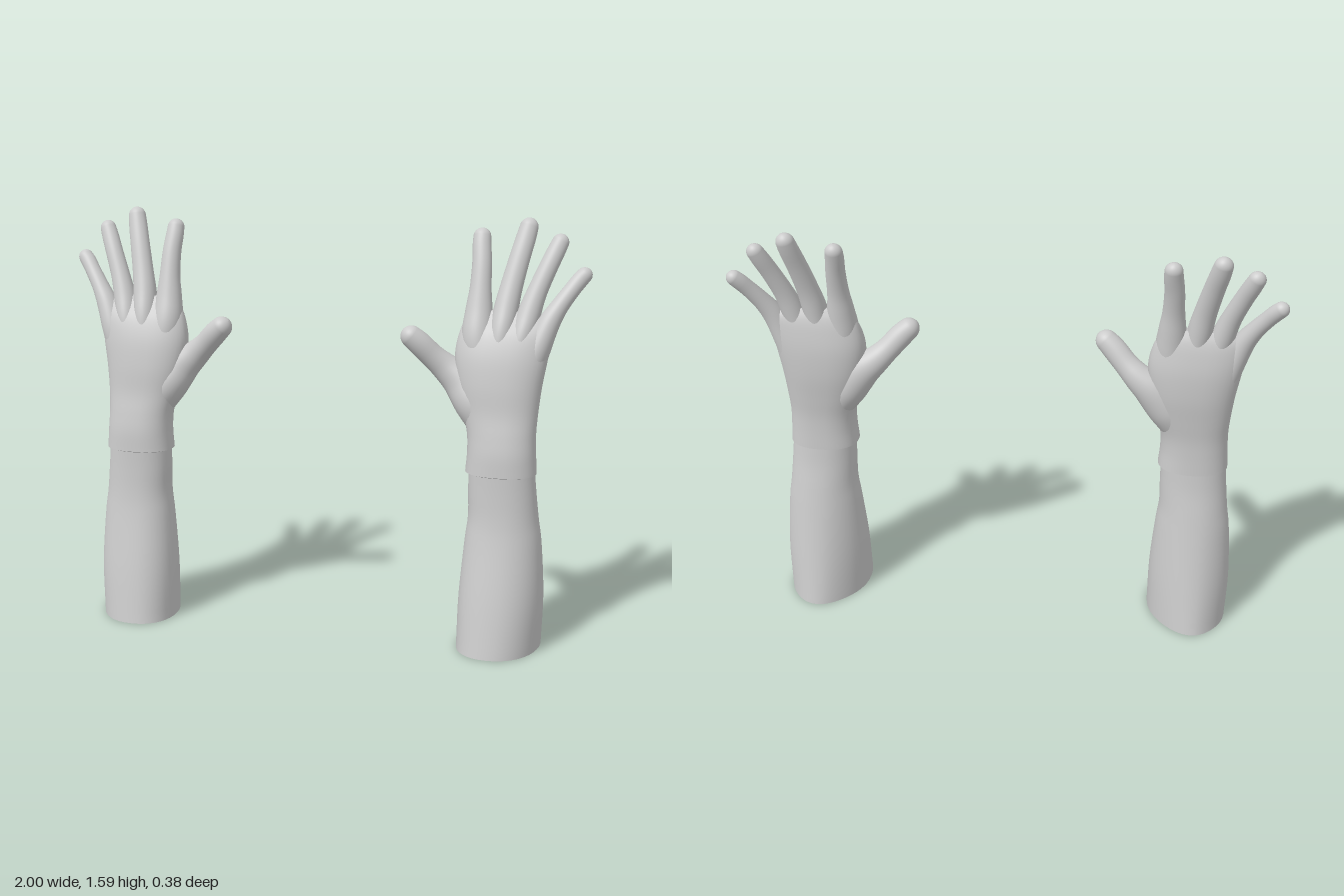
import * as THREE from 'three';

const SIDES = 40;
const material = new THREE.MeshStandardMaterial({ color: 0xcccccc });

// Smooth skin over a list of rings; side = -1 mirrors it across x.
function skin(name, rings, side) {
  const pos = [], index = [];
  for (const ring of rings) for (const p of ring) pos.push(p.x * side, p.y, p.z);
  for (let i = 0; i < rings.length - 1; i++) {
    for (let j = 0; j < SIDES; j++) {
      const k = (j + 1) % SIDES;
      const a = i * SIDES + j, b = i * SIDES + k, c = a + SIDES, d = b + SIDES;
      if (side > 0) index.push(a, c, b, b, c, d);
      else index.push(a, b, c, b, d, c);
    }
  }
  const geo = new THREE.BufferGeometry();
  geo.setAttribute('position', new THREE.Float32BufferAttribute(pos, 3));
  geo.setIndex(index);
  geo.computeVertexNormals();
  const mesh = new THREE.Mesh(geo, material);
  mesh.name = name;
  return mesh;
}

const spline = (pts) => new THREE.CatmullRomCurve3(pts, false, 'catmullrom', 0.5);
const ringOf = (fn) => Array.from({ length: SIDES }, (_, j) => fn((j / SIDES) * Math.PI * 2));
const bulge = (v, n) => Math.sign(v) * Math.pow(Math.abs(v), 2 / n);

// Upright loft; rows are [y, xMin, xMax, zBack, zFront].
// taper narrows the back, shear slides it sideways; both fade with height.
function upright(rows, { n = 2.2, taper = 0, shear = 0, steps = 5 } = {}) {
  const xs = spline(rows.map((r) => new THREE.Vector3(r[0], r[1], r[2])));
  const zs = spline(rows.map((r) => new THREE.Vector3(r[0], r[3], r[4])));
  const count = (rows.length - 1) * steps;
  const rings = [];
  for (let i = 0; i <= count; i++) {
    const t = i / count, X = xs.getPoint(t), Z = zs.getPoint(t);
    const cx = (X.y + X.z) / 2, rx = (X.z - X.y) / 2;
    const cz = (Z.y + Z.z) / 2, rz = (Z.z - Z.y) / 2;
    rings.push(ringOf((a) => {
      const c = bulge(Math.cos(a), n), s = bulge(Math.sin(a), n);
      const narrow = 1 - taper * (1 - t) * Math.max(0, -s) ** 2;
      return new THREE.Vector3(cx + rx * c * narrow - shear * (1 - t) * s * rz, X.x, cz + rz * s);
    }));
  }
  return rings;
}

// Round-ended digit; points are [x, y, z, radius across, radius in depth].
function digit(points) {
  const path = spline(points.map((p) => new THREE.Vector3(p[0], p[1], p[2])));
  const radii = spline(points.map((p) => new THREE.Vector3(p[3], p[4], 0)));
  const tipT = 1 - points[points.length - 1][3] / path.getLength();
  const ts = [];
  for (let i = 0; i < 22; i++) ts.push([(i / 22) * tipT, 1]);
  for (let i = 0; i <= 8; i++) {
    const a = (i / 8) * Math.PI / 2;
    ts.push([tipT + (1 - tipT) * Math.sin(a), Math.max(Math.cos(a), 0.002)]);
  }
  return ts.map(([u, k]) => {
    const t = path.getUtoTmapping(u);
    const c = path.getPoint(t), r = radii.getPoint(t), T = path.getTangent(t);
    const S = new THREE.Vector3().crossVectors(T, new THREE.Vector3(0, 0, 1)).normalize();
    const D = new THREE.Vector3().crossVectors(S, T);
    return ringOf((a) => c.clone()
      .addScaledVector(S, Math.cos(a) * r.x * k)
      .addScaledVector(D, Math.sin(a) * r.y * k));
  });
}

const center = (ring) => {
  const c = new THREE.Vector3();
  ring.forEach((p) => c.addScaledVector(p, 1 / ring.length));
  return ring.map(() => c.clone());
};

const FOREARM = [
  [0, 0.57, 0.875, -0.19, 0.19],
  [0.2, 0.57, 0.88, -0.16, 0.155],
  [0.4, 0.583, 0.867, -0.13, 0.115],
  [0.5, 0.593, 0.853, -0.115, 0.1],
  [0.6, 0.591, 0.842, -0.1, 0.094],
  [0.7, 0.591, 0.832, -0.092, 0.092],
];

const PALM = [
  [0.675, 0.579, 0.841, -0.096, 0.104],
  [0.75, 0.584, 0.836, -0.095, 0.1],
  [0.82, 0.58, 0.833, -0.097, 0.089],
  [0.9, 0.56, 0.837, -0.106, 0.074],
  [1.0, 0.535, 0.847, -0.117, 0.064],
  [1.1, 0.523, 0.863, -0.118, 0.046],
  [1.18, 0.535, 0.872, -0.108, 0.018],
  [1.23, 0.56, 0.86, -0.096, -0.015],
  [1.265, 0.61, 0.8, -0.08, -0.04],
];

const DIGITS = {
  indexFinger: [
    [0.622, 1.05, -0.03, 0.05, 0.06], [0.603, 1.16, -0.038, 0.058, 0.06],
    [0.603, 1.26, -0.058, 0.05, 0.047], [0.604, 1.34, -0.075, 0.04, 0.038],
    [0.603, 1.43, -0.1, 0.036, 0.034], [0.597, 1.5, -0.124, 0.034, 0.031],
    [0.596, 1.553, -0.145, 0.03, 0.027],
  ],
  middleFinger: [
    [0.682, 1.05, -0.03, 0.04, 0.06], [0.69, 1.17, -0.036, 0.045, 0.06],
    [0.702, 1.27, -0.059, 0.045, 0.047], [0.716, 1.35, -0.08, 0.041, 0.038],
    [0.738, 1.45, -0.112, 0.038, 0.034], [0.757, 1.53, -0.142, 0.036, 0.032],
    [0.77, 1.592, -0.163, 0.031, 0.028],
  ],
  ringFinger: [
    [0.745, 1.05, -0.03, 0.04, 0.055], [0.763, 1.16, -0.036, 0.043, 0.057],
    [0.784, 1.25, -0.056, 0.043, 0.045], [0.808, 1.33, -0.076, 0.037, 0.036],
    [0.843, 1.42, -0.104, 0.034, 0.032], [0.868, 1.48, -0.127, 0.033, 0.03],
    [0.892, 1.537, -0.148, 0.029, 0.026],
  ],
  littleFinger: [
    [0.795, 1.03, -0.035, 0.045, 0.06], [0.823, 1.13, -0.038, 0.047, 0.056],
    [0.856, 1.22, -0.053, 0.041, 0.043], [0.892, 1.285, -0.073, 0.033, 0.034],
    [0.933, 1.345, -0.098, 0.03, 0.029], [0.963, 1.385, -0.118, 0.03, 0.028],
    [0.992, 1.415, -0.134, 0.026, 0.025],
  ],
  thumb: [
    [0.655, 0.83, -0.012, 0.06, 0.06], [0.604, 0.92, -0.022, 0.075, 0.075],
    [0.55, 0.995, -0.036, 0.07, 0.062], [0.492, 1.045, -0.034, 0.054, 0.05],
    [0.443, 1.09, -0.018, 0.045, 0.043], [0.392, 1.143, 0.003, 0.044, 0.042],
    [0.337, 1.192, 0.02, 0.036, 0.036],
  ],
};

function createArm(side) {
  const arm = new THREE.Group();
  arm.name = side > 0 ? 'leftArm' : 'rightArm';

  // Forearm with a flat, sharp-edged base
  const forearm = upright(FOREARM, { n: 2.2, taper: 0.28, shear: 0.12 });
  arm.add(skin('forearm', forearm, side));
  arm.add(skin('forearmBase', [center(forearm[0]), forearm[0]], side));

  // Gloved palm, closed on top, with a stepped cuff edge below
  const palm = upright(PALM, { n: 2.3 });
  arm.add(skin('palm', [...palm, center(palm[palm.length - 1])], side));
  const mid = center(palm[0])[0];
  const lip = palm[0].map((p) => p.clone().lerp(mid, 0.12).setY(0.67));
  arm.add(skin('cuffEdge', [lip, palm[0]], side));

  // Fingers and thumb
  for (const [name, points] of Object.entries(DIGITS)) {
    arm.add(skin(name, digit(points), side));
  }
  return arm;
}

export function createModel() {
  const model = new THREE.Group();
  model.name = 'pairOfGlovedArms';
  model.add(createArm(1), createArm(-1));
  return model;
}
